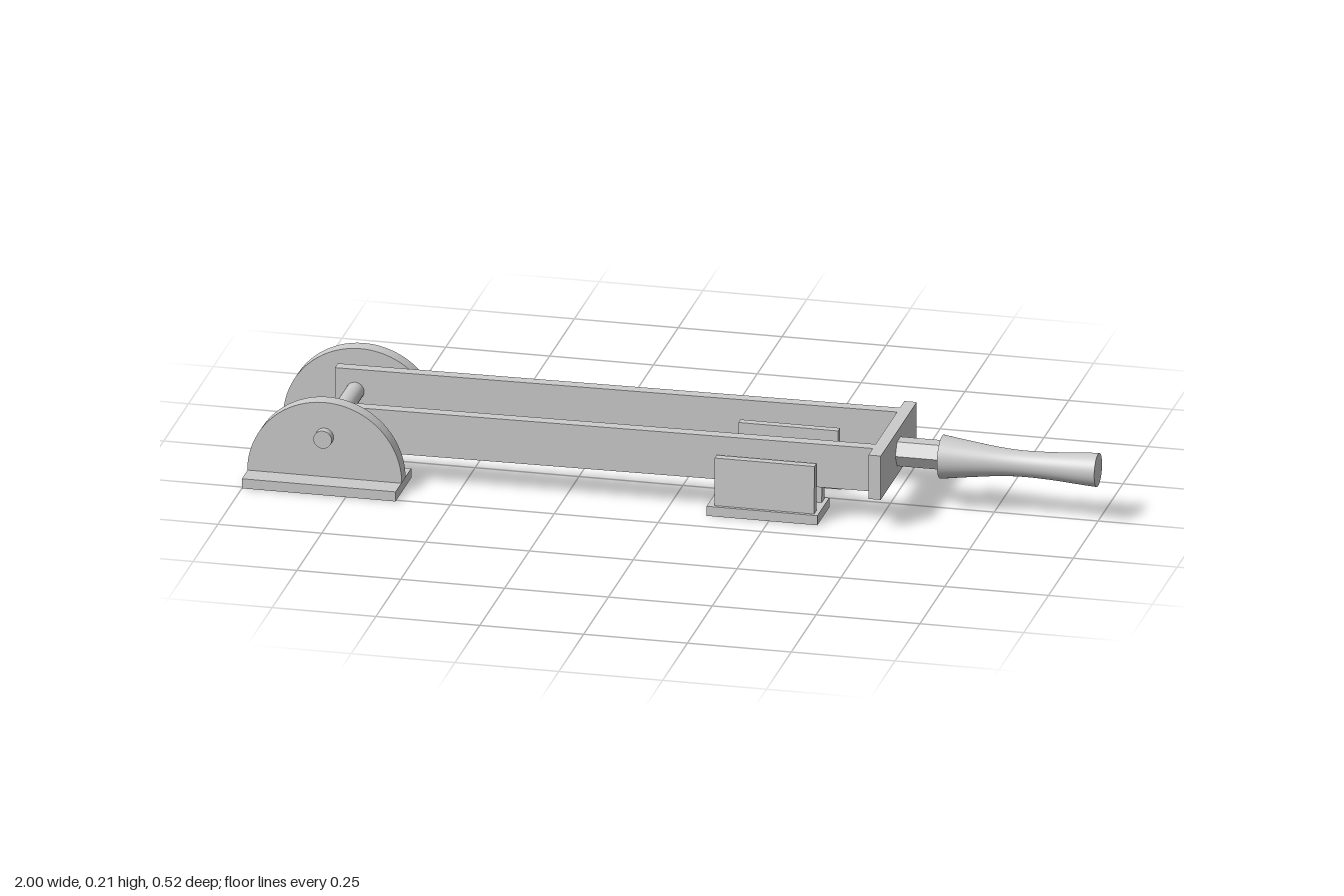
import * as THREE from 'three';

const mat = new THREE.MeshStandardMaterial({ color: 0xcccccc });

export function createModel() {
  const root = new THREE.Group();

  const add = (name, geo, x = 0, y = 0, z = 0) => {
    const m = new THREE.Mesh(geo, mat);
    m.name = name;
    m.position.set(x, y, z);
    root.add(m);
    return m;
  };
  // box given by its limits on each axis
  const box = (name, [x0, x1], [y0, y1], [z0, z1]) =>
    add(name, new THREE.BoxGeometry(x1 - x0, y1 - y0, z1 - z0),
      (x0 + x1) / 2, (y0 + y1) / 2, (z0 + z1) / 2);

  // half-round hinge lug
  const lugShape = new THREE.Shape();
  lugShape.absarc(0, 0, 0.186, 0, Math.PI, false);
  lugShape.closePath();
  const lugGeo = new THREE.ExtrudeGeometry(lugShape, { depth: 0.038, bevelEnabled: false, curveSegments: 32 });
  lugGeo.translate(0, 0, -0.019);

  // clip jaw, slightly thinner at the top
  const jawShape = new THREE.Shape([
    new THREE.Vector2(-0.0135, 0), new THREE.Vector2(0.0135, 0),
    new THREE.Vector2(0.010, 0.12), new THREE.Vector2(-0.010, 0.12)]);
  const jawGeo = new THREE.ExtrudeGeometry(jawShape, { depth: 0.24, bevelEnabled: false });
  jawGeo.translate(0, 0, -0.12);
  jawGeo.rotateY(Math.PI / 2);

  for (const s of [1, -1]) {
    const side = s > 0 ? 'front' : 'back';
    const zs = (a, b) => (s > 0 ? [a, b] : [-b, -a]);

    // hinge
    box(side + 'HingeBase', [-1, -0.63], [0, 0.024], zs(0.1, 0.258));
    add(side + 'HingeLug', lugGeo, -0.815, 0.024, s * 0.181);

    // blade, tilted very slightly up towards the handle
    const blade = box(side + 'Blade', [-0.863, 0.495], [0.075, 0.183], zs(0.108, 0.137));
    blade.rotation.z = 0.007;

    // clip
    box(side + 'ClipBase', [0.1, 0.367], [0, 0.024], zs(0.06, 0.18));
    for (const z of [0.081, 0.158]) add(side + 'ClipJaw', jawGeo, 0.237, 0.022, s * z);
  }

  // hinge pin through both lugs
  const pin = add('hingePin', new THREE.CylinderGeometry(0.022, 0.022, 0.445, 24), -0.815, 0.124, -0.002);
  pin.rotation.x = Math.PI / 2;

  // crossbar and hexagonal neck
  box('crossbar', [0.49, 0.52], [0.078, 0.188], [-0.181, 0.182]);
  const neckGeo = new THREE.CylinderGeometry(0.035, 0.035, 0.13, 6).toNonIndexed();
  neckGeo.computeVertexNormals();
  neckGeo.rotateZ(-Math.PI / 2);
  add('neck', neckGeo, 0.575, 0.132, 0);

  // waisted handle: smooth side with flat end caps
  const profile = new THREE.SplineCurve([[0.052, 0], [0.043, 0.065], [0.034, 0.14], [0.031, 0.2],
    [0.033, 0.27], [0.038, 0.34], [0.04, 0.376]].map(p => new THREE.Vector2(...p))).getPoints(24);
  const handle = new THREE.Group();
  handle.name = 'handle';
  const grip = new THREE.Mesh(new THREE.LatheGeometry(profile, 40), mat);
  grip.name = 'grip';
  const lowCap = new THREE.Mesh(new THREE.CircleGeometry(0.052, 40), mat);
  lowCap.name = 'gripInnerEnd';
  lowCap.rotation.x = Math.PI / 2;
  const endCap = new THREE.Mesh(new THREE.CircleGeometry(0.04, 40), mat);
  endCap.name = 'gripOuterEnd';
  endCap.rotation.x = -Math.PI / 2;
  endCap.position.y = 0.376;
  handle.add(grip, lowCap, endCap);
  handle.rotation.z = -Math.PI / 2;
  handle.position.set(0.624, 0.128, 0);
  root.add(handle);

  return root;
}
